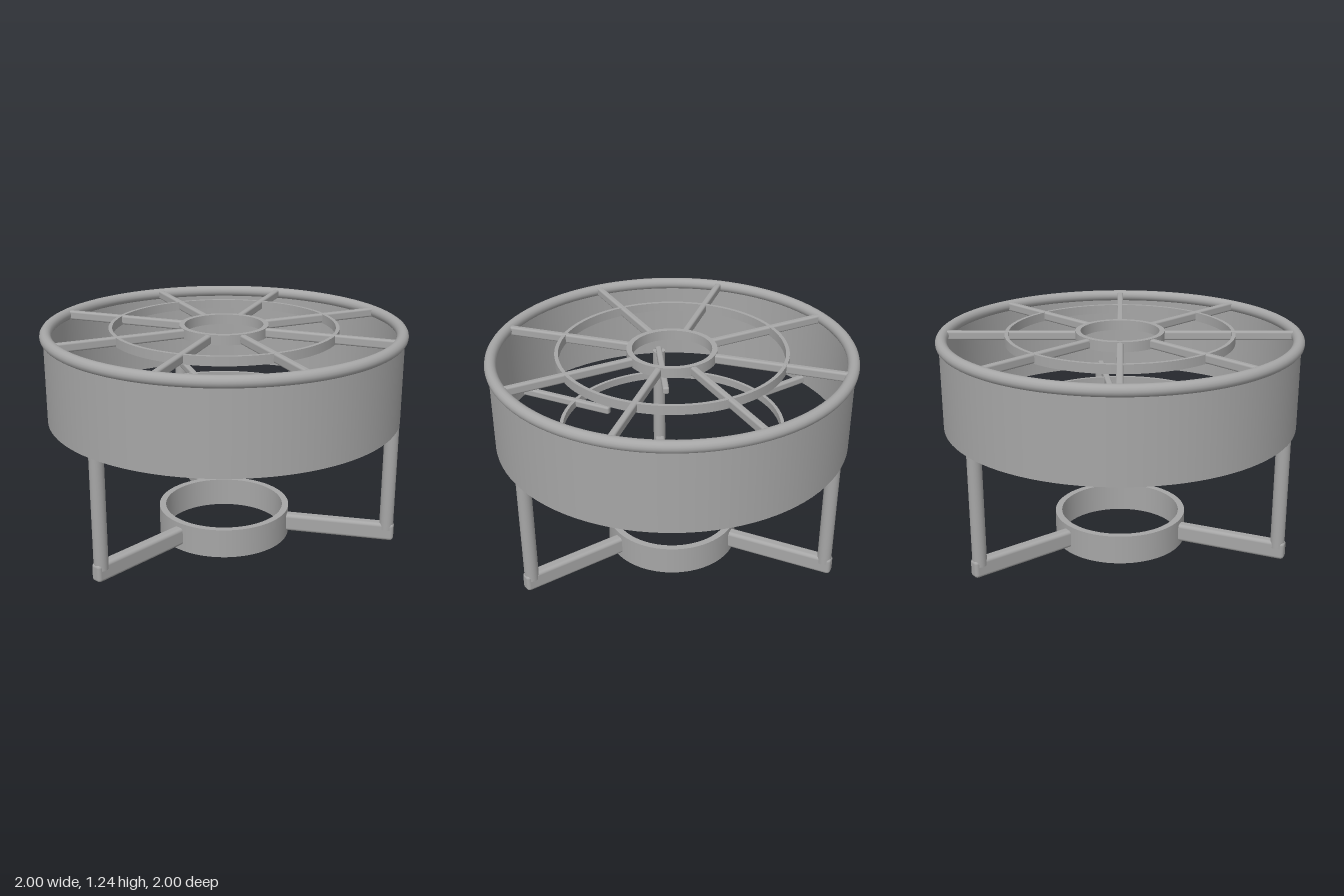
import * as THREE from 'three';
import { RoundedBoxGeometry } from 'three/addons/geometries/RoundedBoxGeometry.js';

export function createModel() {
  const model = new THREE.Group();
  const metal = new THREE.MeshStandardMaterial({ color: 0xa6a6a6 });
  metal.name = 'grey metal';

  const add = (name, geometry, parent = model) => {
    const mesh = new THREE.Mesh(geometry, metal);
    mesh.name = name;
    parent.add(mesh);
    return mesh;
  };

  // Upright band with a rectangular section; each wall has its own normals so edges stay sharp
  const band = (name, inner, outer, y0, y1) => {
    const group = new THREE.Group();
    group.name = name;
    const corners = [[inner, y0], [outer, y0], [outer, y1], [inner, y1]];
    corners.forEach((a, i) => {
      const b = corners[(i + 1) % 4];
      const face = [new THREE.Vector2(...a), new THREE.Vector2(...b)];
      add(name + 'Face', new THREE.LatheGeometry(face, 96), group);
    });
    model.add(group);
  };

  // Radial bar from r0 to r1, pointing away from the axis at an angle measured from +z
  const bar = (name, angle, r0, r1, width, y0, y1) => {
    const geometry = new RoundedBoxGeometry(width, y1 - y0, r1 - r0, 3, width * 0.3);
    geometry.translate(0, (y0 + y1) / 2, (r0 + r1) / 2);
    add(name, geometry).rotation.y = angle;
  };

  // Drum wall and its rolled rim
  band('drum', 0.965, 0.982, 0.73, 1.21);
  const rim = add('rim', new THREE.TorusGeometry(0.968, 0.032, 16, 96));
  rim.rotation.x = Math.PI / 2;
  rim.position.y = 1.208;

  // Upper grate: hub, middle ring and eight spokes
  band('upperHub', 0.216, 0.245, 1.18, 1.235);
  band('upperRing', 0.61, 0.63, 1.18, 1.23);
  for (let i = 0; i < 8; i++) {
    bar('upperSpoke', (i + 0.5) * Math.PI / 4, 0.235, 0.955, 0.036, 1.182, 1.232);
  }

  // Lower grate: middle ring and six spokes open at the centre
  band('lowerRing', 0.61, 0.63, 0.732, 0.775);
  for (let i = 0; i < 6; i++) {
    bar('lowerSpoke', i * Math.PI / 3, 0.395, 0.972, 0.038, 0.732, 0.778);
  }

  // Base ring carried by three arms, each ending in an upright leg
  band('baseRing', 0.338, 0.375, 0, 0.165);
  for (let i = 0; i < 3; i++) {
    const angle = i * Math.PI * 2 / 3;
    bar('footArm', angle, 0.352, 0.985, 0.064, 0.035, 0.137);
    const leg = add('leg', new THREE.CylinderGeometry(0.039, 0.039, 0.66, 20));
    leg.position.set(Math.sin(angle) * 0.942, 0.43, Math.cos(angle) * 0.942);
  }

  return model;
}
